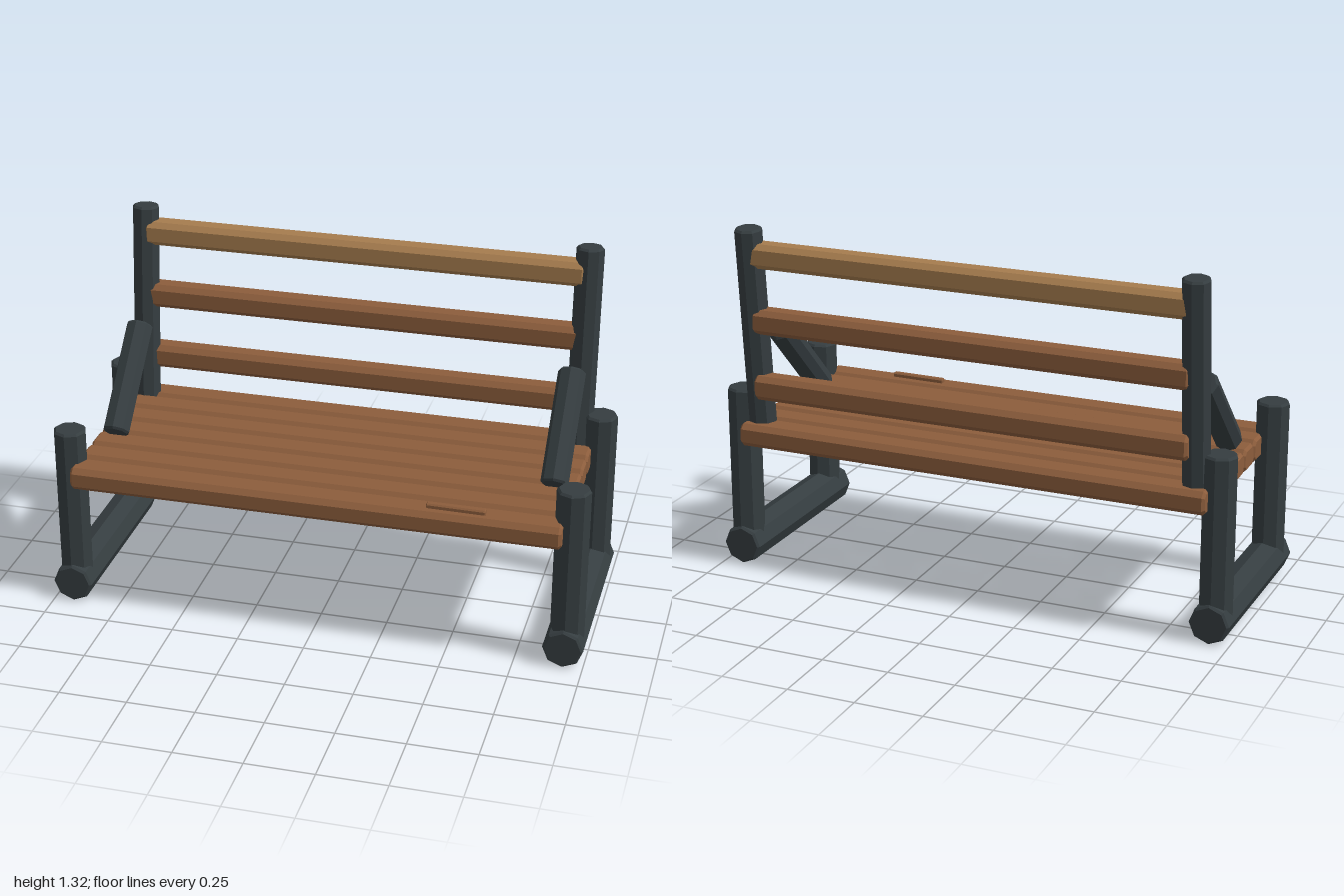
import * as THREE from 'three';

const metal = new THREE.MeshStandardMaterial({ color: 0x353d40, flatShading: true });
const wood = new THREE.MeshStandardMaterial({ color: 0x8c5d3c, flatShading: true });
const paleWood = new THREE.MeshStandardMaterial({ color: 0xa67c4e, flatShading: true });

// Eight-sided log with a small bevel at each end, running from point a to point b
function log(name, a, b, r, bevel = 0.008) {
  const start = new THREE.Vector3(...a), end = new THREE.Vector3(...b);
  const dir = end.clone().sub(start), h = dir.length() / 2;
  const profile = [[0, -h], [r - bevel, -h], [r, -h + bevel], [r, h - bevel], [r - bevel, h], [0, h]]
    .map(([x, y]) => new THREE.Vector2(x, y));
  const mesh = new THREE.Mesh(new THREE.LatheGeometry(profile, 8), metal);
  mesh.name = name;
  mesh.position.copy(start).add(end).multiplyScalar(0.5);
  mesh.quaternion.setFromUnitVectors(new THREE.Vector3(0, 1, 0), dir.normalize());
  return mesh;
}

// Plank along x with chamfered long edges and bevelled ends
function plank(name, length, height, depth, material, chamfer = 0.018, bevel = 0.01) {
  const w = depth / 2 - bevel, h = height / 2 - bevel, c = chamfer - bevel * 0.5;
  const shape = new THREE.Shape([
    [-w + c, -h], [w - c, -h], [w, -h + c], [w, h - c],
    [w - c, h], [-w + c, h], [-w, h - c], [-w, -h + c],
  ].map(([x, y]) => new THREE.Vector2(x, y)));
  const geometry = new THREE.ExtrudeGeometry(shape, {
    depth: length - 2 * bevel, bevelEnabled: true, bevelSegments: 1,
    bevelThickness: bevel, bevelSize: bevel,
  });
  geometry.translate(0, 0, -(length - 2 * bevel) / 2).rotateY(Math.PI / 2);
  const mesh = new THREE.Mesh(geometry, material);
  mesh.name = name;
  return mesh;
}

export function createModel() {
  const bench = new THREE.Group();
  bench.name = 'bench';

  // Side frames: ground runner, two legs, leaning back post and slanted arm
  for (const s of [1, -1]) {
    const side = new THREE.Group();
    side.name = s > 0 ? 'leftFrame' : 'rightFrame';
    side.add(
      log('runner', [s * 0.926, 0.074, -0.363], [s * 0.926, 0.074, 0.395], 0.074),
      log('frontLeg', [s * 0.93, 0.06, 0.323], [s * 0.93, 0.686, 0.323], 0.062),
      log('rearLeg', [s * 0.93, 0.06, -0.293], [s * 0.93, 0.686, -0.293], 0.062),
      log('backPost', [s * 0.848, 0.475, -0.294], [s * 0.848, 1.316, -0.361], 0.052),
      log('armBrace', [s * 0.828, 0.586, 0.122], [s * 0.828, 0.897, -0.188], 0.051),
    );
    bench.add(side);
  }

  // Seat: seven planks side by side
  const seat = new THREE.Group();
  seat.name = 'seat';
  for (let i = 0; i < 7; i++) {
    const slat = plank('seatSlat', 1.81, 0.087, 0.113, wood);
    slat.position.set(0, 0.524, 0.361 - i * 0.115);
    seat.add(slat);
  }
  bench.add(seat);

  // Backrest: three rails, the top one in paler wood
  const backrest = new THREE.Group();
  backrest.name = 'backrest';
  [[0.715, -0.34], [0.967, -0.34], [1.217, -0.349]].forEach(([y, z], i) => {
    const rail = plank('backRail', 1.675, 0.092, 0.09, i === 2 ? paleWood : wood);
    rail.position.set(0, y, z);
    backrest.add(rail);
  });
  bench.add(backrest);

  // Loose splinter lying on the front plank
  const splinter = plank('splinter', 0.213, 0.022, 0.025, wood, 0.005, 0.003);
  splinter.position.set(0.523, 0.573, 0.365);
  splinter.rotation.y = -0.02;
  bench.add(splinter);

  return bench;
}
